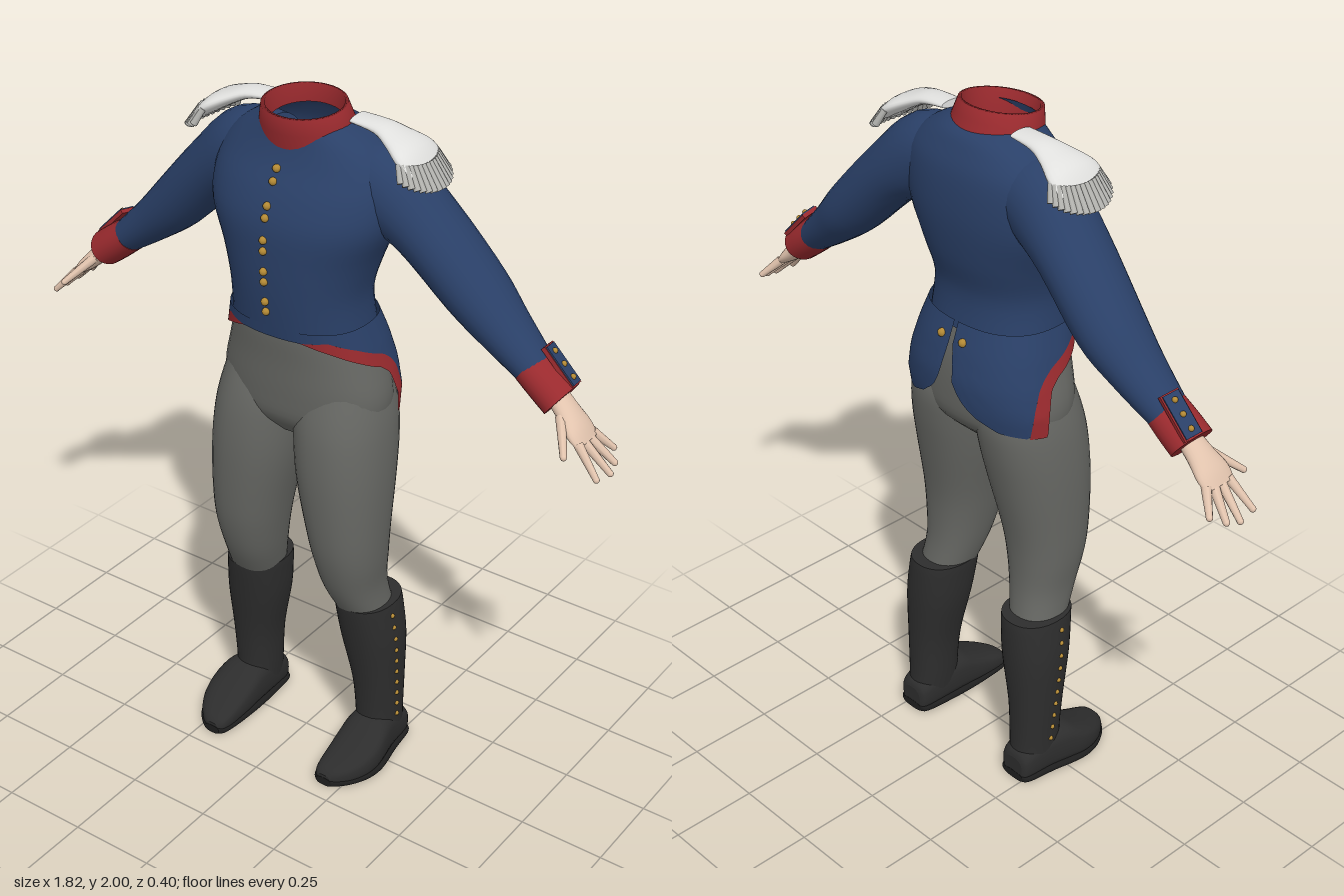
import * as THREE from 'three';
import { mergeGeometries } from 'three/addons/utils/BufferGeometryUtils.js';

const V = (x, y, z) => new THREE.Vector3(x, y, z);
function material(name, color, double) {
  const m = new THREE.MeshStandardMaterial({ color });
  m.name = name;
  if (double) m.side = THREE.DoubleSide;
  return m;
}

// Skin over rows of points; rows may close on themselves and be capped
function grid(rows, closed = true, cap = false) {
  const pos = [], idx = [], n = rows[0].length;
  rows.forEach(r => r.forEach(p => pos.push(p.x, p.y, p.z)));
  for (let i = 0; i < rows.length - 1; i++) {
    for (let j = 0; j < (closed ? n : n - 1); j++) {
      const k = (j + 1) % n, a = i * n + j, b = i * n + k;
      idx.push(a, b, b + n, a, b + n, a + n);
    }
  }
  if (cap) [rows[0], rows[rows.length - 1]].forEach((r, end) => {
    const s = pos.length / 3, c = V(0, 0, 0);
    r.forEach(p => { pos.push(p.x, p.y, p.z); c.addScaledVector(p, 1 / n); });
    pos.push(c.x, c.y, c.z);
    for (let j = 0; j < n; j++) {
      const k = (j + 1) % n;
      idx.push(s + n, s + (end ? j : k), s + (end ? k : j));
    }
  });
  const g = new THREE.BufferGeometry();
  g.setAttribute('position', new THREE.Float32BufferAttribute(pos, 3));
  g.setIndex(idx);
  g.computeVertexNormals();
  return g;
}

// Smoothly subdivide a list of section rows
function refine(secs, steps = 4) {
  const out = [], at = i => secs[Math.max(0, Math.min(secs.length - 1, i))];
  for (let i = 0; i < secs.length - 1; i++) {
    for (let s = 0; s < steps; s++) {
      const t = s / steps;
      out.push(secs[i].map((b, k) => {
        const a = at(i - 1)[k], c = at(i + 1)[k], d = at(i + 2)[k];
        return b + 0.5 * t * (c - a + t * (2 * a - 5 * b + 4 * c - d + t * (3 * (b - c) + d - a)));
      }));
    }
  }
  out.push(secs[secs.length - 1]);
  return out;
}
// Linear lookup in a table sorted by its first column
function lookup(table, x) {
  let i = 0;
  while (i < table.length - 2 && x > table[i + 1][0]) i++;
  const a = table[i], b = table[i + 1];
  const t = THREE.MathUtils.clamp((x - a[0]) / (b[0] - a[0]), 0, 1);
  return a.map((v, k) => v + (b[k] - v) * t);
}
const pw = (v, e) => Math.sign(v) * Math.abs(v) ** e;

// Point on a level section [y, x0, x1, zBack, zFront]; angle 0 faces front
function levelPoint([y, x0, x1, zb, zf], a, e = 0.9) {
  return V((x0 + x1) / 2 + (x1 - x0) / 2 * pw(Math.sin(a), e), y,
    (zb + zf) / 2 + (zf - zb) / 2 * pw(Math.cos(a), e));
}
const around = (n, f) => Array.from({ length: n }, (_, j) => f(j / n * Math.PI * 2));
const levelLoft = (secs, cap, n = 40) =>
  grid(refine(secs).map(s => around(n, a => levelPoint(s, a))), true, cap);

// Limb with sections [x, y, z, radius in the xy plane, radius in z]
function limb(secs, cap = true, n = 24) {
  const s = refine(secs);
  return grid(s.map(([x, y, z, rn, rz], i) => {
    const p = s[Math.max(0, i - 1)], q = s[Math.min(s.length - 1, i + 1)];
    const d = V(q[0] - p[0], q[1] - p[1], 0).normalize();
    return around(n, a => V(x - d.y * rn * Math.cos(a), y + d.x * rn * Math.cos(a), z + rz * Math.sin(a)));
  }), true, cap);
}
function rod(a, b, r0, r1) {
  const d = b.clone().sub(a);
  return new THREE.CylinderGeometry(r1, r0, d.length(), 8)
    .applyQuaternion(new THREE.Quaternion().setFromUnitVectors(V(0, 1, 0), d.normalize()))
    .translate((a.x + b.x) / 2, (a.y + b.y) / 2, (a.z + b.z) / 2);
}
const stud = (r, p) => new THREE.SphereGeometry(r, 10, 8).translate(p.x, p.y, p.z);
function mirrored(g) {
  const m = g.clone().applyMatrix4(new THREE.Matrix4().makeScale(-1, 1, 1)), ix = m.index.array;
  for (let i = 0; i < ix.length; i += 3) [ix[i], ix[i + 1]] = [ix[i + 1], ix[i]];
  return m;
}

export function createModel() {
  const root = new THREE.Group();
  root.name = 'uniform';
  const navy = material('navy cloth', 0x2a4068, true), red = material('red trim', 0x9a2a2e, true);
  const grey = material('grey trousers', 0x666763), black = material('boot leather', 0x2d2d2d);
  const sole = material('sole', 0x1e1e1e), skin = material('skin', 0xe2c4ae);
  const gold = material('gold', 0xb48a35), white = material('white epaulet', 0xe0e0de);
  const fringe = material('fringe', 0xb4b4b0);
  const add = (name, g, m) => {
    const mesh = new THREE.Mesh(g, m);
    mesh.name = name;
    root.add(mesh);
  };
  const pair = (name, g, m) => {
    add(name + 'Left', g, m);
    add(name + 'Right', mirrored(g), m);
  };

  // Jacket body, open at neck and waist
  const body = [[1.395, -.2, .2, -.15, .163], [1.5, -.195, .195, -.14, .176], [1.6, -.22, .22, -.165, .182],
    [1.7, -.262, .262, -.18, .18], [1.78, -.268, .268, -.181, .155], [1.85, -.25, .25, -.172, .118],
    [1.9, -.205, .205, -.152, .098], [1.935, -.15, .15, -.13, .09], [1.955, -.115, .115, -.095, .085]];
  add('jacketBody', levelLoft(body, false, 48), navy);

  // Coat skirt: rows are [degrees from front, hem height, top of red trim]
  const skirt = [[1.14, -.262, .262, -.183, .16], [1.2, -.26, .26, -.195, .155], [1.27, -.243, .243, -.197, .152],
    [1.35, -.222, .222, -.178, .158], [1.42, -.201, .201, -.152, .167]];
  const hem = [[0, 1.388, 1.388], [22, 1.388, 1.389], [45, 1.362, 1.395], [70, 1.325, 1.365], [88, 1.295, 1.335],
    [94, 1.265, 1.32], [100, 1.2, 1.3], [104, 1.14, 1.28], [112, 1.14, 1.22], [120, 1.14, 1.141],
    [145, 1.15, 1.151], [162, 1.18, 1.181], [172, 1.22, 1.221], [177, 1.27, 1.271], [179, 1.36, 1.361]];
  function panel(low, high, from, to) {
    return grid(Array.from({ length: 11 }, (_, i) => Array.from({ length: 61 }, (_, j) => {
      const deg = from + (to - from) * j / 60, h = lookup(hem, deg);
      const y0 = low(h), y = y0 + (high(h) - y0) * i / 10;
      return levelPoint(lookup(skirt, y), deg * Math.PI / 180, 0.83);
    })), false);
  }
  pair('coatSkirt', panel(h => h[2], () => 1.42, 0, 179), navy);
  pair('skirtTrim', panel(h => h[1], h => h[2], 20, 120), red);

  // Collar with a folded rim, lower at the front
  const collarRing = (rx, zb, zf, y, dip) => around(40, a => {
    const p = levelPoint([y, -rx, rx, zb, zf], a, 1);
    p.y -= dip * Math.cos(a);
    return p;
  });
  add('collar', grid([collarRing(.135, -.118, .1, 1.912, .028), collarRing(.126, -.106, .108, 1.95, .02),
    collarRing(.115, -.095, .112, 1.987, .012), collarRing(.106, -.086, .1, 1.988, .012),
    collarRing(.105, -.085, .085, 1.93, .02)]), red);

  // Gold buttons down the chest, in pairs
  for (let i = 0; i < 10; i++) {
    const y = 1.845 - .088 * Math.floor(i / 2) - .03 * (i % 2);
    add('chestButton', stud(.011, V(-.003, y, lookup(body, y)[4] + .003)), gold);
  }
  pair('backButton', stud(.012, V(.04, 1.375, -.168)), gold);

  // Sleeves and cuffs
  pair('sleeve', limb([[.1, 1.83, -.04, .08, .09], [.21, 1.795, -.045, .112, .105], [.33, 1.71, -.06, .09, .105],
    [.475, 1.565, -.075, .08, .098], [.57, 1.48, -.073, .064, .08], [.68, 1.392, -.066, .046, .058]]), navy);
  pair('cuff', limb([[.652, 1.412, -.065, .049, .061], [.7, 1.378, -.064, .052, .064], [.745, 1.345, -.062, .052, .065]]), red);

  // Buttoned flap on each cuff
  const onFlap = (along, lift) => V(.725 + .7 * along + .7 * lift, 1.425 - .7 * along + .7 * lift, -.085);
  const flap = (l, w, t, lift) => {
    const p = onFlap(0, lift);
    return new THREE.BoxGeometry(l, t, w).rotateX(-.2).rotateZ(-Math.PI / 4).translate(p.x, p.y, p.z);
  };
  pair('cuffFlapEdge', flap(.125, .056, .012, -.001), red);
  pair('cuffFlap', flap(.118, .048, .012, .003), navy);
  for (const s of [-.04, 0, .04]) pair('cuffButton', stud(.008, onFlap(s, .01)), gold);

  // Hands
  pair('palm', limb([[.725, 1.36, -.06, .026, .034], [.77, 1.318, -.055, .025, .042],
    [.805, 1.284, -.05, .021, .054], [.832, 1.257, -.05, .011, .05]]), skin);
  const fingers = [[.822, 1.266, -.09, .868, 1.216, -.126], [.825, 1.262, -.066, .892, 1.197, -.09],
    [.825, 1.262, -.04, .902, 1.188, -.05], [.825, 1.264, -.014, .893, 1.194, .006], [.765, 1.318, -.025, .82, 1.255, .05]];
  for (const [x, y, z, u, v, w] of fingers) {
    const a = V(x, y, z), b = V(u, v, w);
    pair('finger', mergeGeometries([rod(a, b, .014, .009), stud(.009, b)]), skin);
  }

  // Epaulets with a fan of tassels
  pair('epaulet', limb([[.125, 1.957, -.045, .01, .035], [.2, 1.95, -.045, .016, .04], [.25, 1.933, -.042, .02, .058],
    [.3, 1.908, -.04, .024, .082], [.34, 1.873, -.04, .016, .08]]), white);
  const tassels = [];
  for (let i = 0; i < 17; i++) {
    const a = (i / 16 - .5) * 2.8, c = Math.cos(a), s = Math.sin(a);
    tassels.push(rod(V(.295 + .05 * c, 1.905 - .01 * c, -.04 + .078 * s),
      V(.31 + .077 * c, 1.868 - .036 * c, -.04 + .095 * s), .008, .01));
  }
  pair('epauletFringe', mergeGeometries(tassels), fringe);

  // Trousers
  add('trouserSeat', levelLoft([[1.06, -.17, .17, -.1, .08], [1.12, -.235, .235, -.155, .128], [1.2, -.25, .25, -.164, .14],
    [1.3, -.225, .225, -.158, .146], [1.38, -.197, .197, -.138, .153], [1.43, -.185, .185, -.125, .15]], true), grey);
  pair('trouserLeg', levelLoft([[.5, .115, .262, -.11, .05], [.6, .09, .255, -.092, .1], [.7, .07, .265, -.09, .132],
    [.8, .05, .27, -.1, .148], [.95, .017, .272, -.13, .157], [1.07, .001, .266, -.153, .152],
    [1.16, -.002, .252, -.158, .135], [1.26, .03, .222, -.13, .1]], true), grey);

  // Boots: shaft, foot, sole and side buttons
  const shaft = [[.06, .16, .28, -.145, .02], [.12, .155, .28, -.14, .01], [.25, .145, .285, -.14, .02],
    [.4, .115, .29, -.145, .045], [.5, .105, .281, -.142, .062], [.535, .104, .276, -.138, .067]];
  pair('bootShaft', levelLoft(shaft, true), black);
  const foot = [[-.152, .185, .255, .075], [-.135, .167, .272, .1], [-.05, .158, .285, .135], [.01, .155, .298, .135],
    [.06, .155, .304, .11], [.11, .157, .296, .085], [.155, .161, .273, .065], [.185, .168, .245, .05], [.198, .182, .225, .036]];
  const footLoft = (grow, height) => grid(refine(foot).map(([z, x0, x1, h]) => {
    const top = height || h;
    return around(28, a => V((x0 + x1) / 2 + ((x1 - x0) / 2 + grow) * pw(Math.cos(a), .8),
      top / 2 + top / 2 * pw(Math.sin(a), .65), z * (1 + grow)));
  }), true, true);
  pair('foot', footLoft(0, 0), black);
  pair('sole', footLoft(.004, .026), sole);
  for (let i = 0; i < 10; i++) {
    const y = .5 - .041 * i, s = lookup(shaft, y), z = -.025 - .004 * i;
    const c = (z - (s[3] + s[4]) / 2) / ((s[4] - s[3]) / 2);
    const p = levelPoint(s, Math.acos(pw(c, 1 / .9)));
    pair('bootButton', stud(.007, p), gold);
  }
  return root;
}
